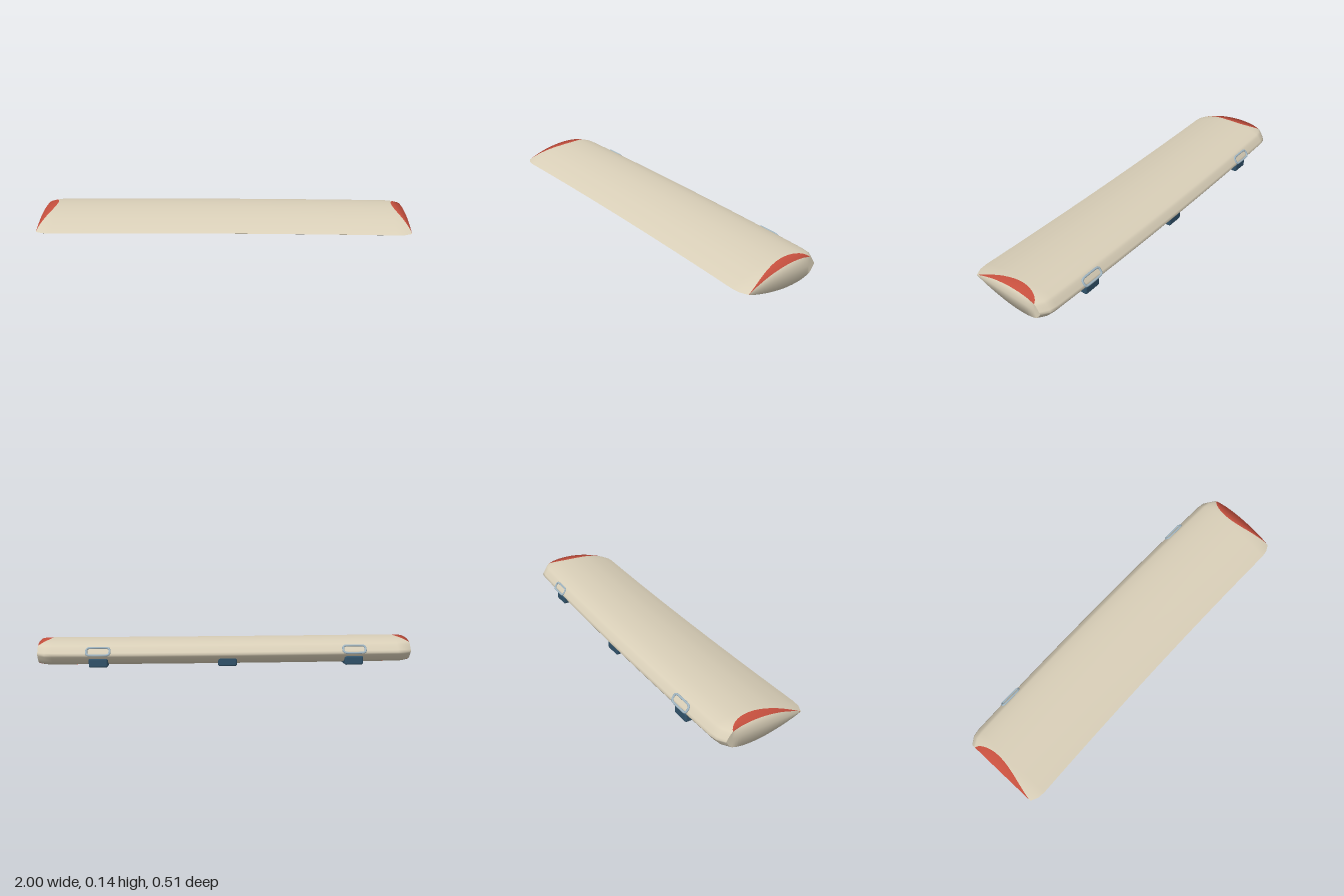
import * as THREE from 'three';
import { RoundedBoxGeometry } from 'three/addons/geometries/RoundedBoxGeometry.js';

const mat = (name, color, side = THREE.FrontSide) => {
  const m = new THREE.MeshStandardMaterial({ color, side });
  m.name = name;
  return m;
};

// Half thickness of the aerofoil from trailing edge (0) to leading edge (1)
const section = new THREE.SplineCurve([
  [0, 0], [0.11, 0.021], [0.3, 0.047], [0.5, 0.0635], [0.66, 0.0675],
  [0.8, 0.063], [0.9, 0.051], [0.945, 0.038], [1, 0],
].map(([t, h]) => new THREE.Vector2(t, h)));

// Point on the wing skin; side is +1 for the top, -1 for the underside
function skin(x, t, h, side) {
  const a = Math.abs(x);
  const tip = Math.max(0, (a - 0.94) / 0.06);
  const bow = 0.015 * Math.min(1, (a / 0.94) ** 2);
  const back = 0.24 + bow * 0.95 - 0.024 * tip ** 1.5;
  const lead = -0.255 + bow + 0.035 * tip ** 1.5;
  const thick = 1 - 0.06 * tip ** 2;
  const mid = 0.0635 + 0.004 * Math.min(1, t * 3);
  return [x, mid + side * h * thick * (side < 0 && t === 1 ? 0 : 1), back + (lead - back) * t];
}

// Width of the red tip flash along the chord
function flash(t, side) {
  if (t <= 0 || t >= 0.92) return 0;
  return (side > 0 ? 0.054 : 0.07) * Math.sin(Math.PI * (t / 0.92) ** 1.6) ** 0.85;
}

function wingGeometry() {
  const half = 24, ring = [];
  for (let k = 0; k <= half; k++) ring.push([section.getPoint(k / half), 1]);
  for (let k = half - 1; k >= 0; k--) ring.push([section.getPoint(k / half), -1]);
  const K = ring.length;

  // Spanwise stations; the outer ones follow the curved edge of the flash
  const right = [
    (r) => 0, () => 0.25, () => 0.5, () => 0.75, () => 0.92,
    (r) => (r + 0.92) / 2, (r) => r, () => 1,
  ];
  const stations = [...right.slice(1).reverse().map((f) => (r) => -f(r)), ...right];
  const S = stations.length;
  const pos = [], cream = [], red = [];
  for (const f of stations) {
    for (const [p, side] of ring) pos.push(...skin(f(1 - flash(p.x, side)), p.x, Math.max(0, p.y), side));
  }
  for (let i = 0; i < S - 1; i++) {
    const list = i === 0 || i === S - 2 ? red : cream;
    for (let k = 0; k < K - 1; k++) {
      const a = i * K + k, b = a + K;
      list.push(a, b, a + 1, b, b + 1, a + 1);
    }
  }
  // Softly shaded end faces with a middle row
  for (const [i, s] of [[0, -1], [S - 1, 1]]) {
    const m = pos.length / 3;
    for (let k = 0; k <= half; k++) pos.push(...skin(s, ring[k][0].x, 0, 1));
    const quad = (hiFront, hiBack, loFront, loBack) => {
      const q = [loFront, hiFront, hiBack, loFront, hiBack, loBack];
      cream.push(...(s > 0 ? q : q.reverse()));
    };
    for (let k = 0; k < half; k++) {
      const u = i * K + k, l = i * K + K - 1 - k;
      quad(u + 1, u, m + k + 1, m + k);
      quad(m + k + 1, m + k, l - 1, l);
    }
  }
  const g = new THREE.BufferGeometry();
  g.setAttribute('position', new THREE.Float32BufferAttribute(pos, 3));
  g.setIndex([...cream, ...red]);
  g.addGroup(0, cream.length, 0);
  g.addGroup(cream.length, red.length, 1);
  g.computeVertexNormals();
  return g;
}

// Small red wedge on the underside beside each tip flash
function wedgeGeometry(s) {
  const pos = [], idx = [], n = 5;
  for (let i = 0; i <= n; i++) {
    const f = i / n;
    const p = section.getPoint(0.5 + 0.1 * f);
    for (const x of [0.86 - 0.06 * f, 0.87]) {
      const v = skin(s * x, p.x, p.y, -1);
      pos.push(v[0], v[1] - 0.0008, v[2]);
    }
    if (i < n) idx.push(2 * i, 2 * i + 1, 2 * i + 2, 2 * i + 1, 2 * i + 3, 2 * i + 2);
  }
  const g = new THREE.BufferGeometry();
  g.setAttribute('position', new THREE.Float32BufferAttribute(pos, 3));
  g.setIndex(s > 0 ? idx : idx.reverse());
  g.computeVertexNormals();
  return g;
}

// Rounded rectangular wire loop
function clipGeometry(w, h, r) {
  const pts = [];
  for (const [sx, sy, a0] of [[1, 1, 0], [-1, 1, 1], [-1, -1, 2], [1, -1, 3]]) {
    for (let j = 0; j <= 3; j++) {
      const a = (a0 + j / 3) * Math.PI / 2;
      pts.push(new THREE.Vector3(
        sx * (w / 2 - r) + r * Math.cos(a), sy * (h / 2 - r) + r * Math.sin(a), 0));
    }
  }
  return new THREE.TubeGeometry(new THREE.CatmullRomCurve3(pts, true, 'centripetal'), 64, 0.006, 8, true);
}

export function createModel() {
  const group = new THREE.Group();
  group.name = 'wing';
  const cream = mat('cream', 0xd9cfb8);
  const red = mat('red', 0xc9513f);
  const redSheet = mat('red', 0xc9513f, THREE.DoubleSide);
  const blue = mat('dark blue', 0x31536b);
  const steel = mat('pale steel', 0xa3b8c4);

  const add = (name, geometry, material) => {
    const m = new THREE.Mesh(geometry, material);
    m.name = name;
    group.add(m);
    return m;
  };

  add('wingSkin', wingGeometry(), [cream, red]);
  for (const s of [-1, 1]) add('undersideWedge', wedgeGeometry(s), redSheet);

  // Mounting blocks under the leading edge
  for (const x of [-0.68, 0, 0.68]) {
    add('mountBlock', new RoundedBoxGeometry(0.1, 0.05, 0.11, 3, 0.01), blue).position.set(x, 0.025, -0.183);
  }
  // Wire clips on the leading edge above the outer blocks
  for (const x of [-0.68, 0.68]) {
    const clip = add('clip', clipGeometry(0.12, 0.042, 0.014), steel);
    clip.position.set(x, 0.086, -0.236);
    clip.rotation.x = 0.6;
  }
  return group;
}
